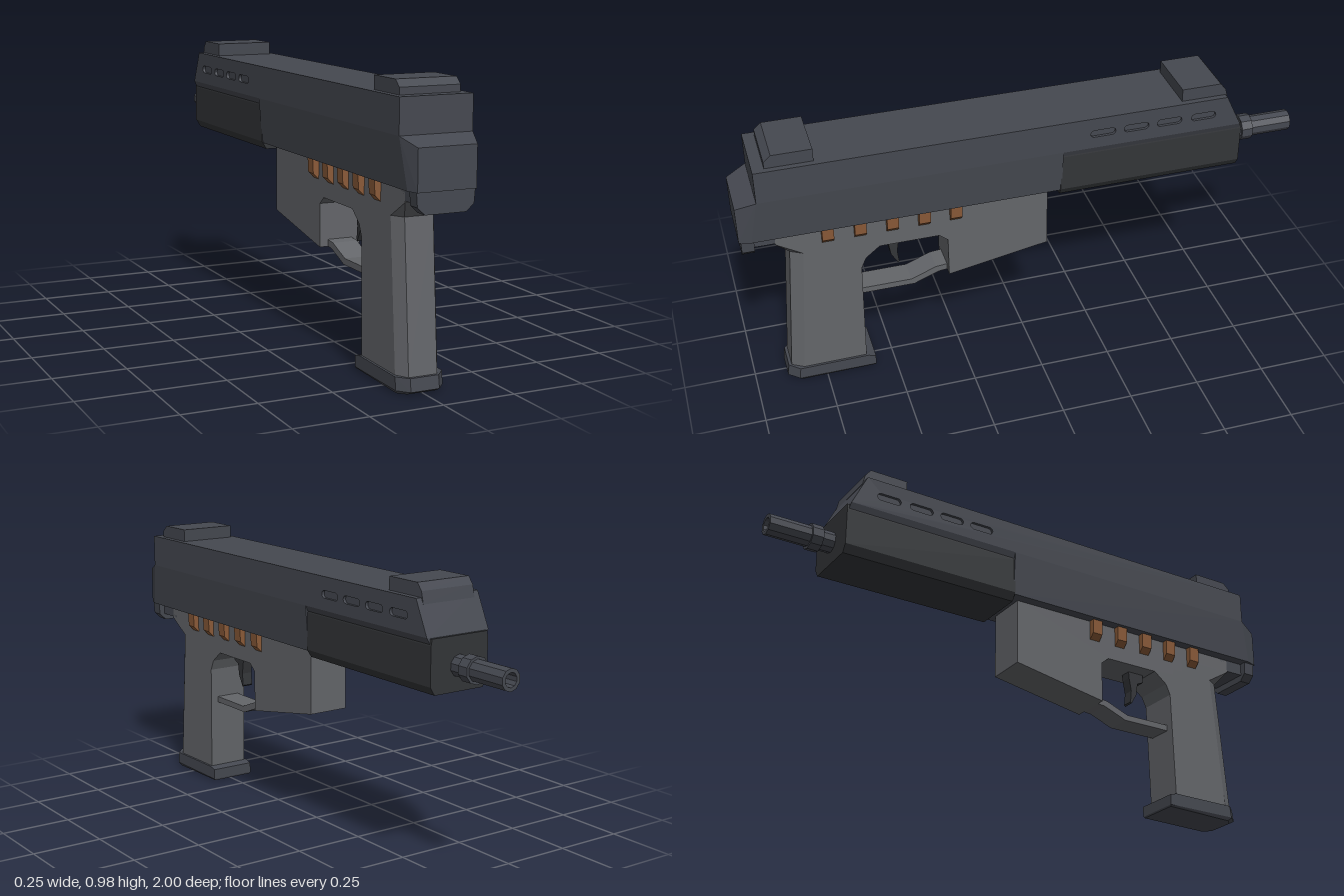
import * as THREE from 'three';
import { ConvexGeometry } from 'three/addons/geometries/ConvexGeometry.js';

const mat = (color) => new THREE.MeshStandardMaterial({ color, flatShading: true, side: THREE.DoubleSide });
const slideMat = mat(0x454850);
const frameMat = mat(0x636569);
const darkMat = mat(0x333538);
const brassMat = mat(0x8a5a38);

export function createModel() {
  const model = new THREE.Group();
  const add = (name, geometry, material) => {
    const mesh = new THREE.Mesh(geometry, material);
    mesh.name = name;
    model.add(mesh);
    return mesh;
  };
  const outline = (pts) => new THREE.Shape(pts.map(([z, y]) => new THREE.Vector2(z, y)));

  // Side outline in (z, y), extruded across x from x0 to x1
  const across = (shape, x0, x1) =>
    new THREE.ExtrudeGeometry(shape, { depth: x1 - x0, bevelEnabled: false, curveSegments: 4 })
      .rotateY(-Math.PI / 2).translate(x1, 0, 0);

  // Faceted solid around points (x, y, z) mirrored in x
  const mirroredHull = (pts) => new ConvexGeometry(pts.flatMap(([x, y, z]) =>
    [new THREE.Vector3(x, y, z), new THREE.Vector3(-x, y, z)]));

  // Upper slide: core, plus side plates with vent slots
  const slidePts = [[0.93, 0.815], [0.93, 0.93], [-0.7, 0.93], [-0.755, 0.815]];
  add('slideCore', across(outline(slidePts), -0.115, 0.115), slideMat);
  const plate = outline(slidePts);
  for (const z of [-0.25, -0.37, -0.49, -0.615]) {
    const slot = new THREE.Path();
    slot.absarc(z + 0.032, 0.87, 0.013, -Math.PI / 2, Math.PI / 2, false);
    slot.absarc(z - 0.032, 0.87, 0.013, Math.PI / 2, Math.PI * 1.5, false);
    plate.holes.push(slot);
  }
  add('leftSlidePlate', across(plate, 0.115, 0.125), slideMat);
  add('rightSlidePlate', across(plate, -0.125, -0.115), slideMat);

  // Receiver with sloped, tapered rear
  add('receiver', mirroredHull([
    [0.1, 0.655, 1], [0.1, 0.788, 1],
    [0.112, 0.655, 0.96], [0.112, 0.788, 0.965], [0.125, 0.815, 0.93],
    [0.112, 0.655, -0.11], [0.112, 0.788, -0.11], [0.125, 0.815, -0.11],
  ]), slideMat);
  add('slideLowerBevel', mirroredHull([
    [0.125, 0.815, -0.1], [0.112, 0.788, -0.1], [0.125, 0.815, -0.755], [0.112, 0.788, -0.76],
  ]), slideMat);

  // Fore-end
  add('foreEnd', mirroredHull([-0.105, -0.765].flatMap((z) =>
    [[0.098, 0.632, z], [0.116, 0.66, z], [0.116, 0.79, z], [0.112, 0.812, z]])), darkMat);

  // Sights
  add('rearSight', across(outline([[0.89, 0.93], [0.89, 0.953], [0.865, 0.975], [0.73, 0.975], [0.73, 0.93]]),
    -0.104, 0.104), slideMat);
  add('frontSight', across(outline([[-0.54, 0.93], [-0.54, 0.975], [-0.68, 0.975], [-0.7, 0.95], [-0.71, 0.91],
    [-0.69, 0.91]]), -0.104, 0.104), slideMat);

  // Hollow barrel with collar
  const barrelPts = [[0.024, 0.12], [0.024, 0.26], [0.037, 0.26], [0.037, 0.11], [0.046, 0.11], [0.046, 0.07],
    [0.037, 0.07], [0.037, 0]].map(([r, y]) => new THREE.Vector2(r, y)).reverse();
  add('barrel', new THREE.LatheGeometry(barrelPts, 10).rotateX(-Math.PI / 2).translate(0, 0.715, -0.74), slideMat);
  add('boreEnd', new THREE.CircleGeometry(0.025, 10).translate(0, 0.715, -0.86), darkMat);

  // Frame and front block
  add('frame', across(outline([
    [0.88, 0.66], [0.88, 0.605], [0.8, 0.58], [0.78, 0.54], [0.78, 0.44], [0.6, 0.44], [0.58, 0.485],
    [0.53, 0.525], [0.32, 0.525], [0.29, 0.5], [0.29, 0.35], [-0.07, 0.415], [-0.07, 0.66],
  ]), -0.075, 0.075), frameMat);

  // Grip with chamfered back, flaring into the tang
  add('grip', mirroredHull([
    [0.05, 0.05, 0.872], [0.075, 0.05, 0.83], [0.075, 0.05, 0.605],
    [0.05, 0.555, 0.833], [0.075, 0.555, 0.79], [0.075, 0.46, 0.597], [0.075, 0.555, 0.62],
  ]), frameMat);
  add('gripFlare', mirroredHull([
    [0.05, 0.55, 0.833], [0.075, 0.55, 0.79], [0.075, 0.55, 0.66],
    [0.075, 0.605, 0.88], [0.075, 0.605, 0.66],
  ]), frameMat);

  // Grip base plate
  add('gripBase', mirroredHull([
    [0.05, 0, 0.865], [0.075, 0, 0.84], [0.078, 0.006, 0.575],
    [0.05, 0.012, 0.888], [0.083, 0.012, 0.85], [0.083, 0.012, 0.573],
    [0.05, 0.055, 0.882], [0.083, 0.055, 0.845], [0.083, 0.05, 0.573], [0.083, 0.057, 0.6],
  ]), slideMat);

  // Tang and rear plate
  add('tang', new THREE.BoxGeometry(0.15, 0.05, 0.12).translate(0, 0.635, 0.91), slideMat);
  add('rearPlate', mirroredHull([0.95, 0.993].flatMap((z) =>
    [[0.1, 0.66, z], [0.096, 0.61, z], [0.07, 0.586, z]])), slideMat);

  // Trigger and guard
  add('triggerGuard', across(outline([
    [0.61, 0.335], [0.42, 0.335], [0.33, 0.37], [0.28, 0.375], [0.28, 0.352], [0.32, 0.348], [0.41, 0.313], [0.61, 0.313],
  ]), -0.045, 0.045), frameMat);
  add('trigger', across(outline([
    [0.515, 0.53], [0.515, 0.495], [0.49, 0.485], [0.483, 0.44], [0.46, 0.4], [0.455, 0.405], [0.46, 0.45],
    [0.452, 0.5], [0.45, 0.53],
  ]), -0.02, 0.02), darkMat);

  // Brass rounds along both sides
  [0.705, 0.594, 0.483, 0.372, 0.261].forEach((z, i) => {
    for (const side of [1, -1]) {
      const round = new ConvexGeometry([-0.02, 0.02].flatMap((dz) =>
        [[0.06, 0.66], [0.098, 0.66], [0.095, 0.602], [0.07, 0.577], [0.06, 0.577]].map(([x, y]) =>
          new THREE.Vector3(side * x, y, z + dz))));
      add(`${side > 0 ? 'left' : 'right'}Round${i + 1}`, round, brassMat);
    }
  });

  return model;
}
